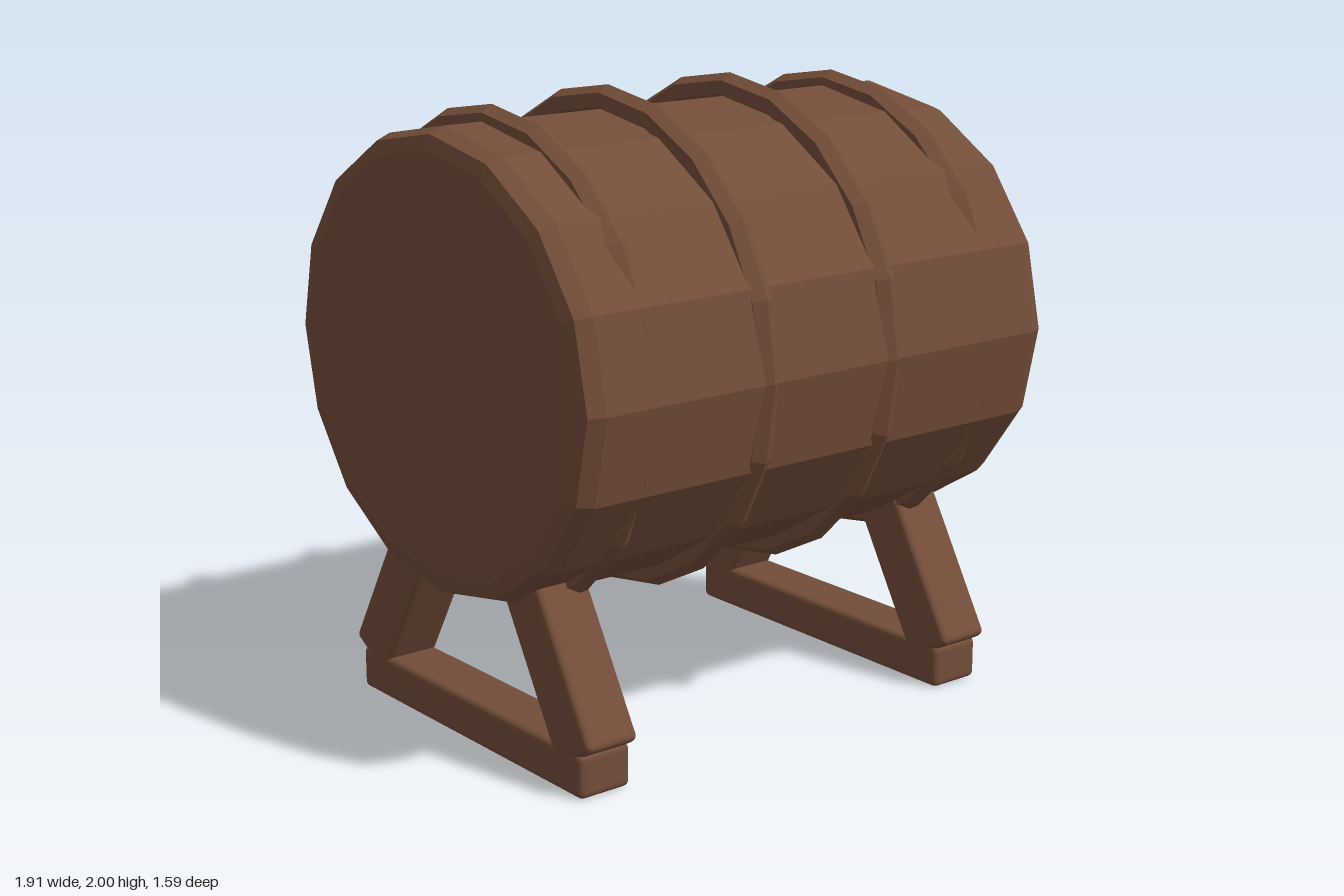
import * as THREE from 'three';
import { RoundedBoxGeometry } from 'three/addons/geometries/RoundedBoxGeometry.js';

export function createModel() {
  const model = new THREE.Group();
  model.name = 'barrelOnStand';
  const wood = new THREE.MeshStandardMaterial({ color: 0x734d39, flatShading: true });
  wood.name = 'brownWood';

  const add = (parent, name, geometry, x, y, z) => {
    const mesh = new THREE.Mesh(geometry, wood);
    mesh.name = name;
    mesh.position.set(x, y, z);
    parent.add(mesh);
    return mesh;
  };

  const axisY = 1.207;

  // Barrel body: 16-sided, slightly wider than tall, bevelled ends, lying along x
  const profile = [
    [0, -0.955], [0.655, -0.955], [0.7, -0.942], [0.72, -0.89],
    [0.72, 0.8], [0.7, 0.848], [0.655, 0.86], [0, 0.86],
  ].map(([r, h]) => new THREE.Vector2(r, h));
  const body = new THREE.LatheGeometry(profile, 16);
  body.rotateZ(-Math.PI / 2).scale(1, 1, 0.78 / 0.72);
  add(model, 'barrelBody', body, 0, axisY, 0);

  // Hoops: the two middle ones are larger
  const hoops = [[-0.72, 0.724], [-0.29, 0.748], [0.195, 0.748], [0.63, 0.724]];
  for (const [x, radius] of hoops) {
    const hoop = new THREE.TorusGeometry(radius, 0.045, 6, 20).rotateY(Math.PI / 2);
    add(model, 'hoop', hoop, x, axisY, 0);
  }

  // Two trestles: a floor beam and a pair of legs leaning in to the barrel
  const beam = new RoundedBoxGeometry(0.185, 0.14, 1.2, 2, 0.02);
  const leg = new RoundedBoxGeometry(0.185, 0.6, 0.19, 2, 0.02);
  for (const x of [-0.77, 0.677]) {
    const trestle = new THREE.Group();
    trestle.name = 'trestle';
    trestle.position.x = x;
    add(trestle, 'floorBeam', beam, 0, 0.07, 0);
    for (const side of [-1, 1]) {
      add(trestle, 'leg', leg, 0, 0.377, side * 0.413).rotation.x = -side * Math.PI / 6;
    }
    model.add(trestle);
  }

  // Tap on the left end
  const tap = new THREE.Group();
  tap.name = 'tap';
  const stem = new THREE.CylinderGeometry(0.057, 0.057, 0.1, 12).rotateZ(-Math.PI / 2);
  add(tap, 'tapStem', stem, 0.888, 0.918, 0);
  add(tap, 'tapSpout', new THREE.CylinderGeometry(0.035, 0.035, 0.14, 8), 0.916, 0.848, 0);
  model.add(tap);

  return model;
}
